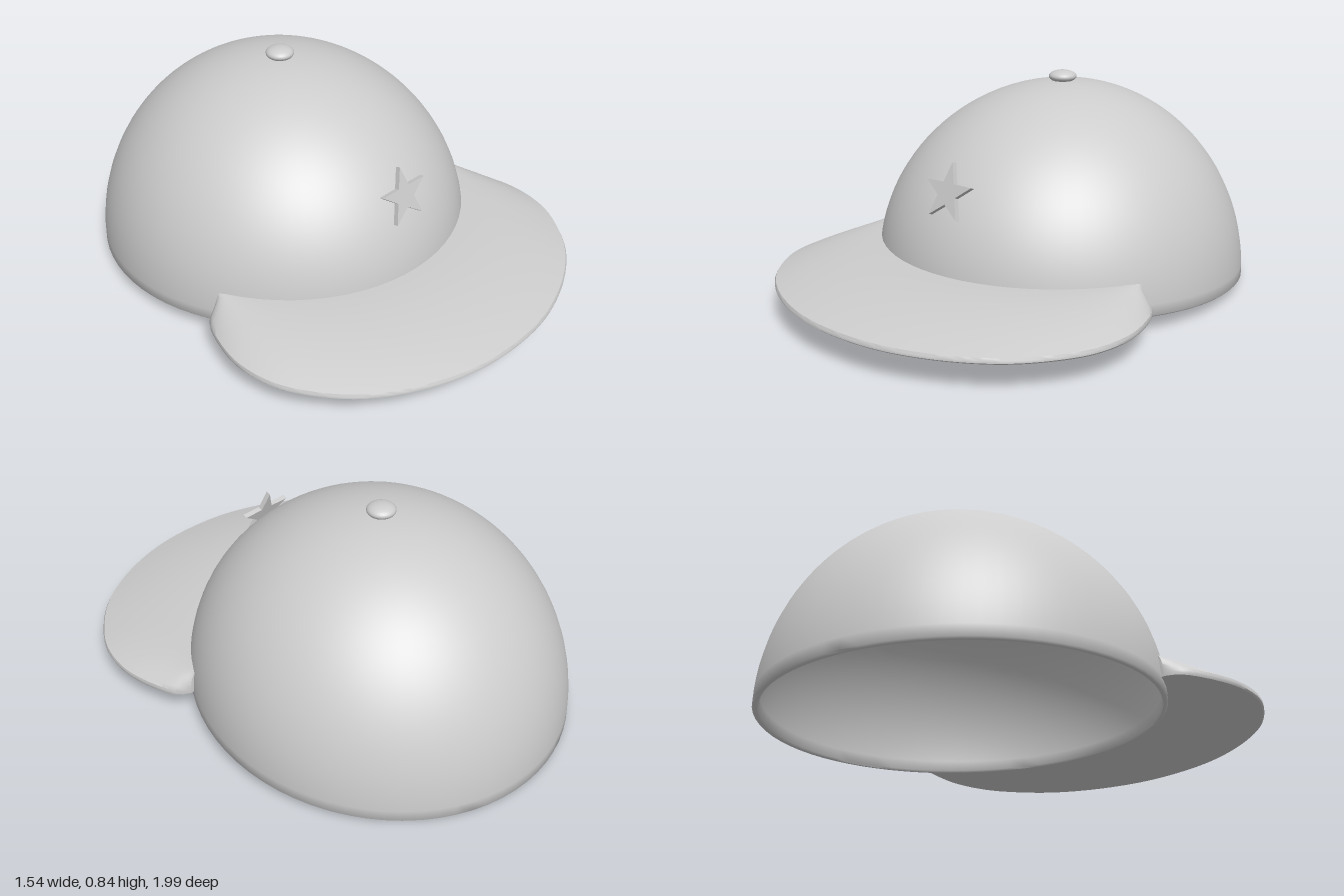
import * as THREE from 'three';
import { toCreasedNormals } from 'three/addons/utils/BufferGeometryUtils.js';

const V2 = (x, y) => new THREE.Vector2(x, y);
const CROWN_Z = -0.237, RX = 0.725, RZ = 0.763, RY = 0.75;

// Thin hollow dome whose rim rises gently towards the front
function crownGeometry() {
  const profile = [], steps = 28, wall = 0.022;
  for (let i = 0; i <= steps; i++) { // inside, apex down to rim
    const a = (i / steps) * Math.PI / 2;
    profile.push(V2(Math.sin(a) * (RX - wall), Math.cos(a) * (RY - wall)));
  }
  profile.push(V2(RX - wall * 0.75, -0.007), V2(RX - wall * 0.3, -0.007));
  for (let i = steps; i >= 0; i--) { // outside, rim up to apex
    const a = (i / steps) * Math.PI / 2;
    profile.push(V2(Math.sin(a) * RX, Math.cos(a) * RY));
  }
  const geo = new THREE.LatheGeometry(profile, 72);
  const p = geo.attributes.position;
  for (let i = 0; i < p.count; i++) {
    const y = p.getY(i), z = p.getZ(i) * RZ / RX;
    p.setXYZ(i, p.getX(i), y + 0.06 * z * (1 - Math.max(y, 0) / RY), z);
  }
  return toCreasedNormals(geo, 0.9);
}

// Solid visor: sections swept from the left end, round the front, to the right end
function visorGeometry() {
  const half = [[0.655, 0.12], [0.70, 0.148], [0.742, 0.24], [0.77, 0.39], [0.744, 0.55],
    [0.663, 0.69], [0.56, 0.80], [0.40, 0.90], [0.20, 0.97]];
  const outline = [...half, [0, 0.99], ...half.map(([x, z]) => [-x, z]).reverse()];
  const curve = new THREE.CatmullRomCurve3(outline.map(([x, z]) => new THREE.Vector3(x, 0, z)));

  // Section as [fraction from crown to outer edge, height]
  const section = [];
  for (let i = 0; i <= 10; i++) section.push([i / 10 * 0.99, 0.2 - 0.07 * (i / 10) ** 2]);
  section.push([1, 0.122], [1, 0.113], [0.985, 0.107], [0, 0.107]);

  const n = 96, m = section.length, end = 1.07, pos = [], index = [];
  for (let i = 0; i <= n; i++) {
    const a = end * (1 - 2 * i / n);
    const inner = new THREE.Vector3(0.705 * Math.sin(a), 0, CROWN_Z + 0.742 * Math.cos(a));
    const outer = curve.getPointAt(i / n);
    for (const [t, y] of section) {
      const q = inner.clone().lerp(outer, t);
      pos.push(q.x, y, q.z);
    }
  }
  for (let i = 0; i < n; i++) {
    for (let j = 0; j < m; j++) {
      const k = (j + 1) % m;
      const a = i * m + j, b = a + m, c = i * m + k, d = c + m;
      index.push(a, b, c, b, d, c);
    }
  }
  for (let j = 1; j < m - 1; j++) { // end caps
    index.push(0, j, j + 1, n * m, n * m + j + 1, n * m + j);
  }
  const geo = new THREE.BufferGeometry();
  geo.setAttribute('position', new THREE.Float32BufferAttribute(pos, 3));
  geo.setIndex(index);
  return toCreasedNormals(geo, 0.6);
}

// Five-pointed badge plate
function starGeometry() {
  const points = [];
  for (let i = 0; i < 10; i++) {
    const r = i % 2 ? 0.044 : 0.113, a = Math.PI / 2 + i * Math.PI / 5;
    points.push(V2(r * Math.cos(a), r * Math.sin(a)));
  }
  const geo = new THREE.ExtrudeGeometry(new THREE.Shape(points), { depth: 0.02, bevelEnabled: false });
  return geo.translate(0, 0, -0.01);
}

export function createModel() {
  const cap = new THREE.Group();
  cap.name = 'cap';
  const grey = new THREE.MeshStandardMaterial({ color: 0xcccccc });
  grey.name = 'light grey';

  const add = (name, geometry, x, y, z) => {
    const mesh = new THREE.Mesh(geometry, grey);
    mesh.name = name;
    mesh.position.set(x, y, z);
    cap.add(mesh);
    return mesh;
  };

  add('crown', crownGeometry(), 0, 0.053, CROWN_Z);
  add('visor', visorGeometry(), 0, 0, 0);
  add('topButton', new THREE.SphereGeometry(1, 32, 20), 0, 0.818, -0.233).scale.set(0.055, 0.025, 0.055);
  add('starBadge', starGeometry(), 0, 0.486, 0.434).rotation.x = -0.31;
  return cap;
}
